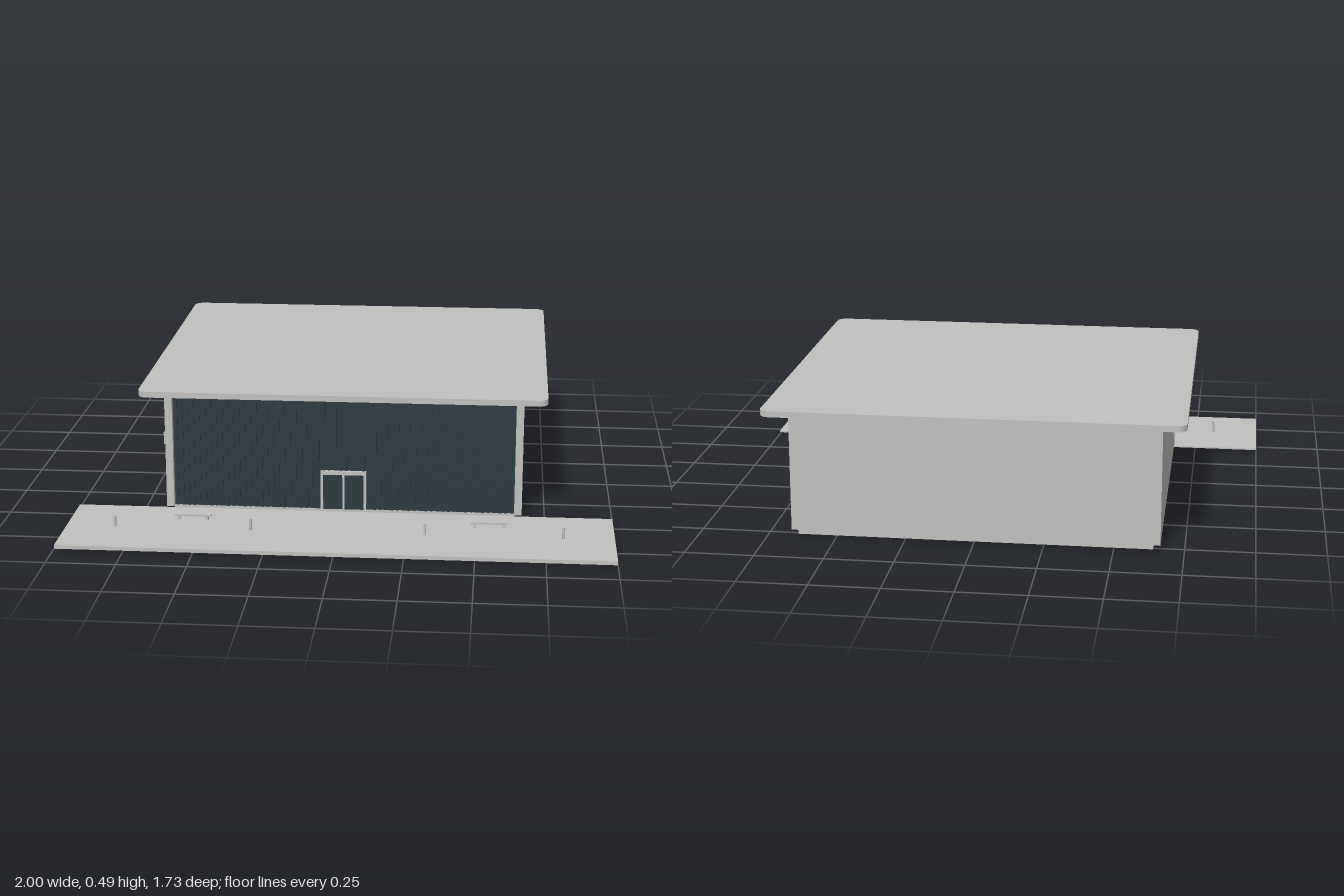
import * as THREE from 'three';

const concrete = new THREE.MeshStandardMaterial({ name: 'concrete grey', color: 0xc1c1bf });
const glass = new THREE.MeshStandardMaterial({ name: 'dark glass', color: 0x2c393f });

export function createModel() {
  const model = new THREE.Group();
  model.name = 'pavilion';

  // box given by its lower and upper bounds on each axis
  const box = (name, x0, x1, y0, y1, z0, z1, material = concrete, parent = model) => {
    const mesh = new THREE.Mesh(new THREE.BoxGeometry(x1 - x0, y1 - y0, z1 - z0), material);
    mesh.position.set((x0 + x1) / 2, (y0 + y1) / 2, (z0 + z1) / 2);
    mesh.name = name;
    parent.add(mesh);
    return mesh;
  };

  // building shell
  box('floorSlab', -0.64, 0.64, 0.005, 0.02, -0.775, 0.415);
  box('backWall', -0.638, 0.638, 0.02, 0.452, -0.775, -0.745);
  box('leftWall', 0.637, 0.665, 0.02, 0.453, -0.775, 0.44);
  box('rightWall', -0.665, -0.637, 0.02, 0.453, -0.775, 0.44);
  box('ceiling', -0.637, 0.637, 0.446, 0.468, -0.775, 0.415);

  // overhanging roof with rounded corners
  const w = 0.75, d = 0.6925, r = 0.035;
  const outline = new THREE.Shape();
  outline.absarc(w - r, d - r, r, 0, Math.PI / 2);
  outline.absarc(-w + r, d - r, r, Math.PI / 2, Math.PI);
  outline.absarc(-w + r, -d + r, r, Math.PI, Math.PI * 1.5);
  outline.absarc(w - r, -d + r, r, Math.PI * 1.5, Math.PI * 2);
  const roof = new THREE.Mesh(
    new THREE.ExtrudeGeometry(outline, { depth: 0.022, bevelEnabled: false, curveSegments: 8 }), concrete);
  roof.rotation.x = -Math.PI / 2;
  roof.position.set(0, 0.468, -0.1725);
  roof.name = 'roof';
  model.add(roof);

  // glazed front with fine vertical fins
  const front = new THREE.Group();
  front.name = 'glassFront';
  model.add(front);
  box('glazing', -0.637, 0.637, 0.02, 0.446, 0.405, 0.416, glass, front);
  const fins = 60;
  for (let i = 0; i < fins; i++) {
    const x = -0.637 + (i + 0.5) * 1.274 / fins;
    box('glassFin', x - 0.005, x + 0.005, 0.02, 0.446, 0.415, 0.42, glass, front);
  }

  // double entrance door
  const door = new THREE.Group();
  door.name = 'entranceDoor';
  model.add(door);
  box('doorGlass', -0.076, 0.076, 0.02, 0.16, 0.418, 0.423, glass, door);
  box('doorLintel', -0.085, 0.085, 0.157, 0.171, 0.416, 0.43, concrete, door);
  box('doorMullion', -0.004, 0.004, 0.02, 0.157, 0.416, 0.428, concrete, door);
  for (const s of [-1, 1]) {
    box('doorJamb', s * 0.0805 - 0.0045, s * 0.0805 + 0.0045, 0.02, 0.157, 0.416, 0.43, concrete, door);
    box('doorHandle', s * 0.012 - 0.0015, s * 0.012 + 0.0015, 0.065, 0.105, 0.425, 0.43, glass, door);
  }

  // blank wall plaque
  box('plaque', -0.669, -0.636, 0.266, 0.313, 0.438, 0.444);

  // forecourt: thin paving with a thicker front strip
  box('paving', -1, 1, 0.008, 0.014, 0.432, 0.69);
  box('frontStrip', -1, 1, 0, 0.014, 0.685, 0.865);

  // benches
  for (const s of [-1, 1]) {
    const bench = new THREE.Group();
    bench.name = 'bench';
    bench.position.set(s * 0.547, 0, 0.561);
    model.add(bench);
    box('benchSeat', -0.068, 0.068, 0.029, 0.037, -0.01, 0.01, concrete, bench);
    for (const t of [-1, 1]) {
      box('benchLeg', t * 0.053 - 0.005, t * 0.053 + 0.005, 0.013, 0.03, -0.008, 0.008, concrete, bench);
    }
  }

  // bollards
  const bollardShape = new THREE.CylinderGeometry(0.005, 0.005, 0.044, 12);
  for (const x of [-0.82, -0.32, 0.315, 0.815]) {
    const bollard = new THREE.Mesh(bollardShape, concrete);
    bollard.position.set(x, 0.035, 0.655);
    bollard.name = 'bollard';
    model.add(bollard);
  }

  return model;
}
